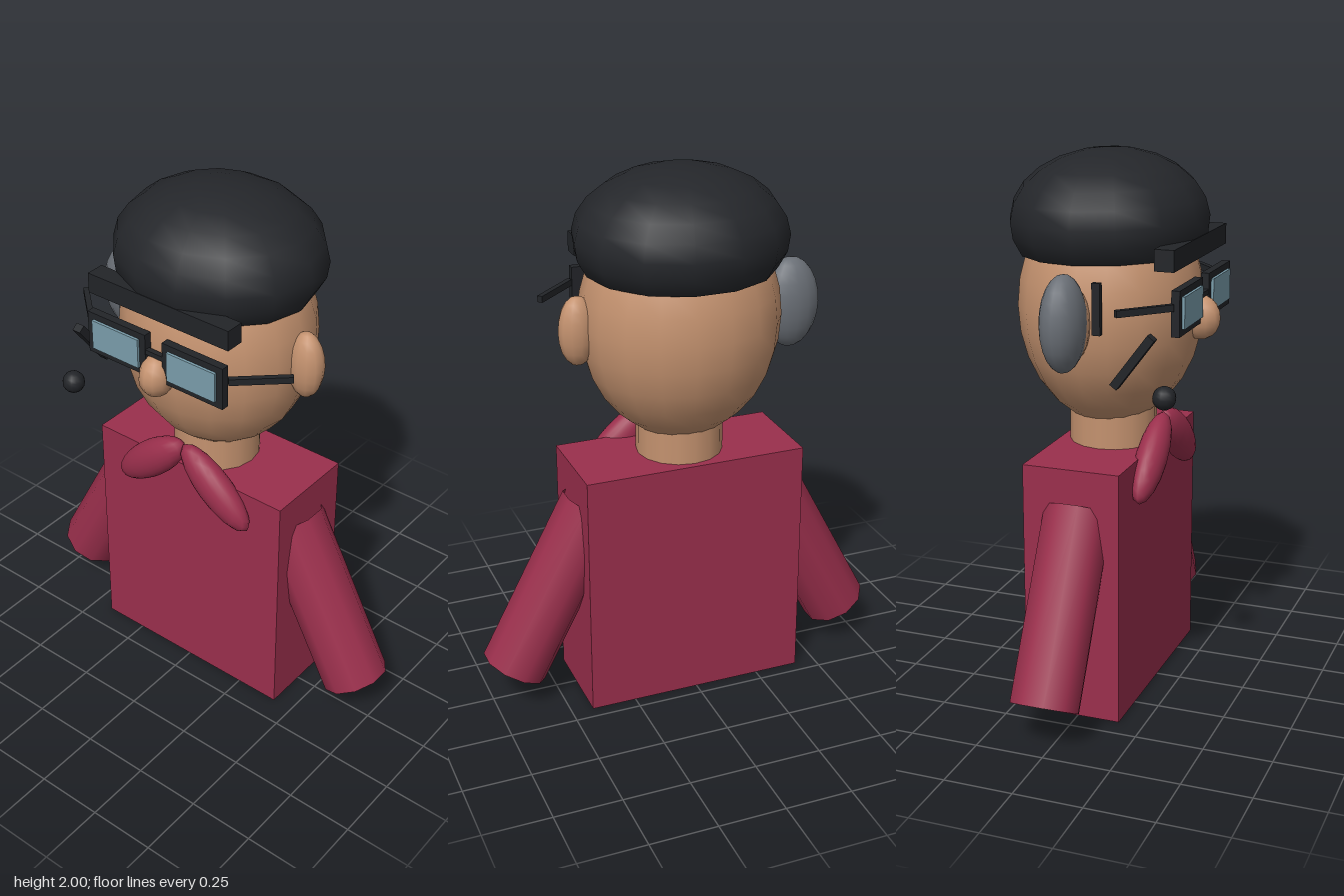
import * as THREE from 'three';

const material = (color, side = THREE.FrontSide) => new THREE.MeshStandardMaterial({ color, side });

export function createModel() {
  const group = new THREE.Group();
  const skin = material(0xc4926f);
  const cloth = material(0x9a2f4c);
  const sleeve = material(0x9a2f4c, THREE.DoubleSide);
  const hairDark = material(0x24262a, THREE.DoubleSide);
  const dark = material(0x222428);
  const grey = material(0x6a6f76);
  const glass = material(0x7a9dab);

  function add(name, geometry, mat, x, y, z) {
    const mesh = new THREE.Mesh(geometry, mat);
    mesh.name = name;
    mesh.position.set(x, y, z);
    group.add(mesh);
    return mesh;
  }
  const box = (name, mat, w, h, d, x, y, z) => add(name, new THREE.BoxGeometry(w, h, d), mat, x, y, z);
  function ellipsoid(name, mat, rx, ry, rz, x, y, z, ws = 16, hs = 12) {
    const mesh = add(name, new THREE.SphereGeometry(1, ws, hs), mat, x, y, z);
    mesh.scale.set(rx, ry, rz);
    return mesh;
  }

  // Body, neck and head
  box('torso', cloth, 0.84, 0.935, 0.36, 0, 0.4675, -0.022);
  add('neck', new THREE.CylinderGeometry(0.16, 0.16, 0.2, 16), skin, 0, 1.02, -0.018);
  ellipsoid('head', skin, 0.368, 0.445, 0.333, 0, 1.45, -0.025, 18, 14);
  ellipsoid('nose', skin, 0.06, 0.08, 0.075, 0, 1.415, 0.31, 12, 10);

  // Cap of hair: an open ellipsoid reaching just below its widest ring
  const hair = add('hair', new THREE.SphereGeometry(1, 14, 8, 0, Math.PI * 2, 0, Math.PI * 0.65),
    hairDark, 0, 1.75, -0.033);
  hair.scale.set(0.388, 0.25, 0.357);
  hair.rotation.x = -0.02;
  box('fringe', dark, 0.605, 0.075, 0.07, 0, 1.666, 0.275);

  // Mirrored parts
  for (const s of [1, -1]) {
    const side = s > 0 ? 'left' : 'right';

    ellipsoid(side + 'Ear', skin, 0.07, 0.128, 0.056, s * 0.382, 1.443, -0.02, 12, 10);

    // Open sleeve leaning outwards
    const arm = add(side + 'Arm', new THREE.CylinderGeometry(0.126, 0.126, 0.7, 10, 1, true),
      sleeve, s * 0.503, 0.453, -0.024);
    arm.rotation.z = s * 0.489;

    // Half of the neckerchief
    const scarf = ellipsoid(side + 'Scarf', cloth, 0.193, 0.07, 0.056, s * 0.147, 0.922, 0.182);
    scarf.rotation.z = -s * 0.71;

    // Glasses
    box(side + 'Frame', dark, 0.258, 0.16, 0.03, s * 0.166, 1.486, 0.314);
    box(side + 'Lens', glass, 0.206, 0.112, 0.016, s * 0.166, 1.486, 0.331);
    const temple = box(side + 'Temple', dark, 0.215, 0.024, 0.02, s * 0.38, 1.51, 0.233);
    temple.rotation.y = s * 0.74;
  }
  box('bridge', dark, 0.08, 0.018, 0.02, 0, 1.5, 0.318);

  // Headset on the right ear with a slanted boom and microphone
  ellipsoid('earphone', grey, 0.11, 0.17, 0.078, -0.425, 1.453, -0.04);
  box('earphoneStrut', dark, 0.02, 0.18, 0.03, -0.37, 1.5, 0.06);
  const boom = box('microphoneBoom', dark, 0.034, 0.225, 0.03, -0.403, 1.337, 0.203);
  boom.rotation.x = 0.64;
  ellipsoid('microphone', dark, 0.041, 0.041, 0.041, -0.4, 1.222, 0.313, 12, 10);

  return group;
}
